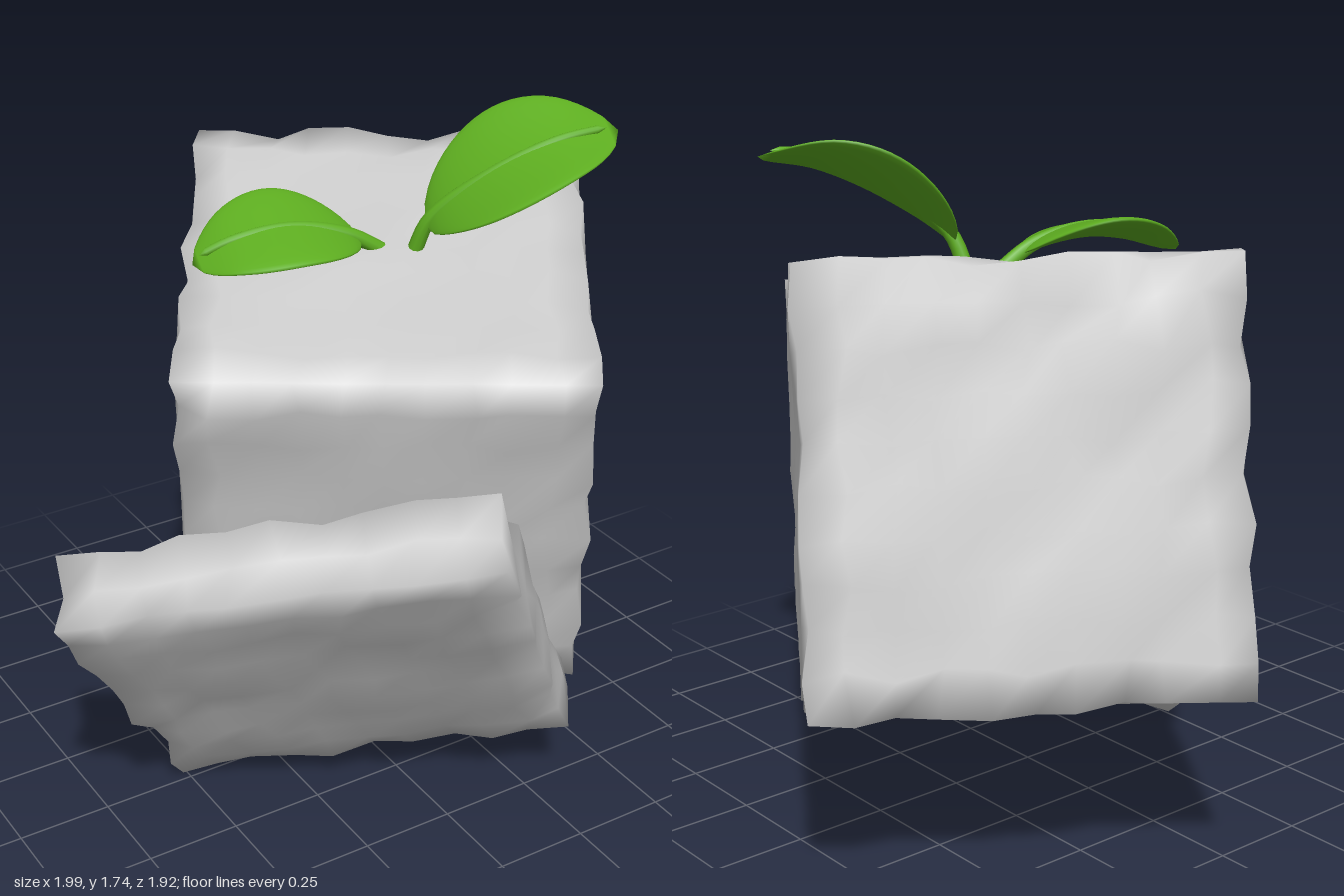
import * as THREE from 'three';
import { mergeVertices } from 'three/addons/utils/BufferGeometryUtils.js';
import { ParametricGeometry } from 'three/addons/geometries/ParametricGeometry.js';

const V = (x, y, z) => new THREE.Vector3(x, y, z);

// Repeatable 0..1 value for a lattice point
function hash(x, y, z) {
  const s = Math.sin(x * 127.1 + y * 311.7 + z * 74.7) * 43758.5453;
  return s - Math.floor(s);
}

// Roughly hewn stone block: corners stay put, edges are chipped, faces undulate
function stone(name, size, segments, centre, xAxis, yAxis, material) {
  let g = new THREE.BoxGeometry(...size, ...segments);
  g.deleteAttribute('uv');
  g.deleteAttribute('normal');
  g = mergeVertices(g, 1e-4);
  const pos = g.attributes.position;
  const p = V();
  for (let i = 0; i < pos.count; i++) {
    p.fromBufferAttribute(pos, i);
    const c = p.toArray();
    const outer = c.map((v, k) => Math.abs(v) > size[k] / 2 - 1e-4);
    const sides = outer.filter(Boolean).length;
    const seed = c.map((v) => Math.round(v * 100));
    const chip = hash(...seed);
    const wave = Math.sin(c[0] * 9 + c[1] * 5) * Math.sin(c[1] * 8 - c[2] * 7 + 1);
    const next = c.map((v, k) => {
      if (sides === 3) return v - Math.sign(v) * 0.003;
      if (!outer[k]) return v + (hash(seed[k], seed[0] + k, seed[1] + seed[2]) - 0.5) * 0.035;
      const inset = sides === 2 ? 0.03 * chip - 0.008 : 0.008 * wave + 0.012 * (chip - 0.5);
      return v - Math.sign(v) * inset;
    });
    pos.setXYZ(i, ...next);
  }
  g.computeVertexNormals();
  const x = xAxis.clone().normalize();
  const z = x.clone().cross(yAxis).normalize();
  const y = z.clone().cross(x);
  const mesh = new THREE.Mesh(g, material);
  mesh.name = name;
  mesh.quaternion.setFromRotationMatrix(new THREE.Matrix4().makeBasis(x, y, z));
  mesh.position.copy(centre);
  return mesh;
}

// Leaf: a cupped, lens-shaped blade swept along a spine, plus a stalk and midrib
function leaf(name, points, across, halfWidth, cup, material) {
  const group = new THREE.Group();
  group.name = name;
  const spine = new THREE.CatmullRomCurve3(points);
  const side = across.clone().normalize();
  const up = (t) => side.clone().cross(spine.getTangentAt(t)).normalize();
  const flip = up(0.6).y < 0 ? -1 : 1;

  const blade = new ParametricGeometry((u, v, target) => {
    const t = 0.14 + 0.86 * v;
    const a = u * Math.PI * 2;
    const swell = Math.pow(Math.max(Math.sin(Math.PI * v), 0), 0.6);
    const w = Math.cos(a) * swell;
    const lift = cup * w * w + Math.sin(a) * 0.02 * swell;
    target.copy(spine.getPointAt(t))
      .addScaledVector(side, w * halfWidth)
      .addScaledVector(up(t), flip * lift);
  }, 28, 22);
  const bladeMesh = new THREE.Mesh(blade, material);
  bladeMesh.name = 'blade';

  // Tapered stalk running on as a raised midrib
  const stalk = new ParametricGeometry((u, v, target) => {
    const t = v * 0.95;
    const a = u * Math.PI * 2;
    const r = v > 0.999 ? 0 : 0.021 - 0.011 * v;
    target.copy(spine.getPointAt(t))
      .addScaledVector(side, Math.cos(a) * r)
      .addScaledVector(up(t), flip * (Math.sin(a) * r + 0.016 * v));
  }, 10, 24);
  const stalkMesh = new THREE.Mesh(stalk, material);
  stalkMesh.name = 'stalk';

  group.add(bladeMesh, stalkMesh);
  return group;
}

export function createModel() {
  const model = new THREE.Group();
  const rock = new THREE.MeshStandardMaterial({ color: 0xcccccc });
  const green = new THREE.MeshStandardMaterial({ color: 0x5eae20, side: THREE.DoubleSide });

  // Tilted cube and the slab split away from it
  model.add(stone('stoneBlock', [1.035, 1.04, 1.06], [10, 10, 10],
    V(0.21, 0.9, -0.15), V(0.87, 0, 0.56), V(-0.12, 1.01, 0.23), rock));
  model.add(stone('stoneSlab', [1.06, 1.04, 0.2], [10, 10, 2],
    V(-0.305, 0.59, 0.395), V(0.83, 0.22, 0.62), V(-0.48, 0.84, 0.38), rock));

  // Seedling on top
  const sprout = new THREE.Group();
  sprout.name = 'sprout';
  sprout.add(leaf('lowLeaf', [
    V(0.14, 1.39, -0.05), V(0.04, 1.45, -0.07), V(-0.1, 1.48, -0.11),
    V(-0.24, 1.46, -0.15), V(-0.34, 1.41, -0.19),
  ], V(0.25, 0.22, -0.93), 0.175, 0.012, green));
  sprout.add(leaf('highLeaf', [
    V(0.2, 1.38, -0.01), V(0.23, 1.49, 0.03), V(0.34, 1.6, 0.11),
    V(0.5, 1.68, 0.18), V(0.66, 1.7, 0.22),
  ], V(-0.36, -0.27, 0.9), 0.21, 0.03, green));
  model.add(sprout);
  return model;
}
